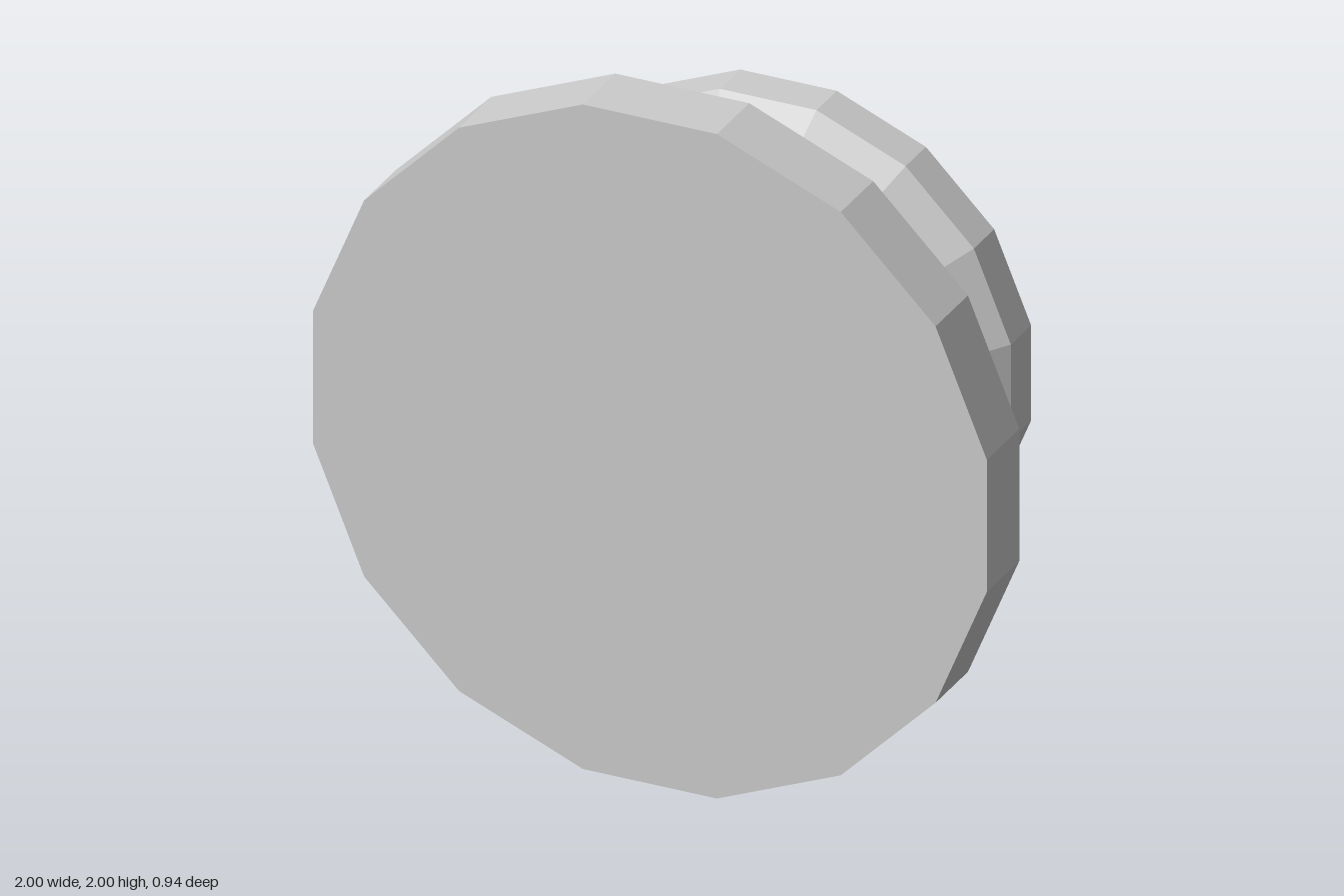
import * as THREE from 'three';

const SIDES = 16;
const grey = new THREE.MeshStandardMaterial({ color: 0xcccccc });
grey.name = 'lightGrey';

// Faceted ring about the z axis; profile is [flat-to-centre distance, z], back to front on the outside
function turned(name, profile) {
  const k = 1 / Math.cos(Math.PI / SIDES);
  const points = profile.map(([r, z]) => new THREE.Vector2(r * k, z));
  const lathe = new THREE.LatheGeometry(points, SIDES, Math.PI / SIDES);
  lathe.rotateX(Math.PI / 2);
  const geometry = lathe.toNonIndexed();
  geometry.computeVertexNormals();
  const mesh = new THREE.Mesh(geometry, grey);
  mesh.name = name;
  mesh.position.y = 1;
  return mesh;
}

export function createModel() {
  const group = new THREE.Group();
  group.name = 'flaredKnob';
  group.add(
    // Recess in the back: floor and wall
    turned('recess', [[0, -0.17], [0.505, -0.17], [0.505, -0.47]]),
    // Bevelled collar around the recess, narrowing to the neck
    turned('collar', [[0.505, -0.47], [0.6, -0.47], [0.72, -0.39], [0.72, -0.265], [0.64, -0.185]]),
    // Flared body with a straight rim
    turned('body', [[0.64, -0.185], [1, 0.265], [1, 0.465]]),
    // Flat front disc
    turned('frontDisc', [[1, 0.465], [0, 0.465]])
  );
  return group;
}
